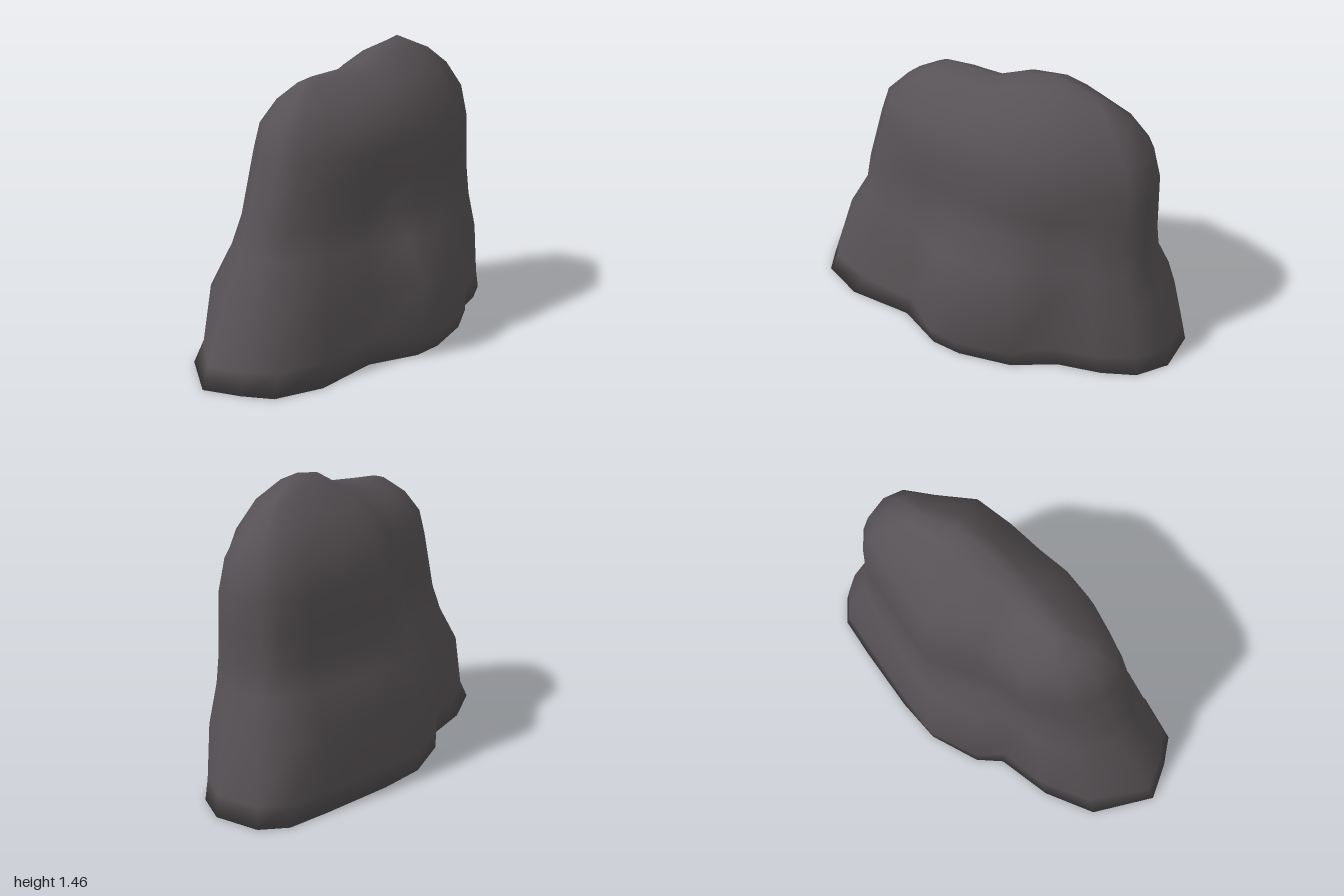
import * as THREE from 'three';
import { mergeVertices } from 'three/addons/utils/BufferGeometryUtils.js';

// Outlines as [x, z], from the back, round the left side, front and right side
const BASE = [[0, -1], [.22, -.96], [.34, -.83], [.38, -.66], [.39, -.44], [.47, -.22], [.47, .05], [.43, .2], [.27, .41], [.2, .74],
  [.06, .94], [-.09, .98], [-.28, 1], [-.49, .75], [-.51, .48], [-.455, .2], [-.51, .07], [-.5, -.2], [-.41, -.42], [-.24, -.74], [-.13, -.93]];
const LOW = [[.02, -.92], [.22, -.89], [.33, -.78], [.38, -.6], [.4, -.38], [.51, -.22], [.51, .06], [.46, .21], [.26, .38], [.17, .62],
  [.04, .8], [-.1, .86], [-.26, .84], [-.44, .66], [-.48, .42], [-.44, .2], [-.515, .06], [-.51, -.2], [-.4, -.41], [-.22, -.71], [-.12, -.86]];
const WAIST = [[.04, -.815], [.21, -.79], [.3, -.72], [.34, -.56], [.37, -.36], [.37, -.16], [.35, .04], [.3, .18], [.21, .35], [.12, .53],
  [.02, .67], [-.09, .725], [-.22, .69], [-.34, .53], [-.375, .34], [-.33, .14], [-.35, .02], [-.365, -.24], [-.25, -.46], [-.13, -.67], [-.05, -.77]];
const SHOULDER = [[.06, -.81], [.2, -.79], [.29, -.72], [.34, -.55], [.41, -.35], [.37, -.15], [.32, .03], [.28, .2], [.2, .36], [.11, .48],
  [.02, .59], [-.08, .64], [-.2, .59], [-.31, .46], [-.36, .27], [-.31, .08], [-.31, 0], [-.34, -.28], [-.22, -.48], [-.12, -.65], [-.04, -.76]];

// Ridge along the top, and the ridge point each outline point climbs to
const RIDGE = [[.1, 1.4, -.47], [.08, 1.46, -.29], [.05, 1.425, -.12], [.02, 1.36, 0], [-.04, 1.345, .13], [-.1, 1.33, .27]];
const TARGET = [0, 0, 0, 0, 1, 2, 3, 4, 4, 5, 5, 5, 5, 5, 4, 4, 3, 2, 1, 0, 0];

const mix = THREE.MathUtils.lerp;
// Mixes two outlines; the ends (large z) shift by a further amount
const blend = (a, b, y, f, endShift = 0) => a.map(([x, z], i) => {
  const t = f + endShift * z * z;
  return [mix(x, b[i][0], t), y, mix(z, b[i][1], t)];
});

function createRockGeometry() {
  // Flared foot, narrow waist and upright sides
  const rings = [
    blend(BASE, LOW, 0, 0), blend(BASE, LOW, .1, .9, -.65), blend(LOW, LOW, .37, 0), blend(LOW, WAIST, .56, .5, .4),
    blend(WAIST, SHOULDER, .7, 0), blend(WAIST, SHOULDER, .85, .5), blend(SHOULDER, SHOULDER, 1, 0),
  ];
  // Rounded crown closing on the ridge
  const steps = 4;
  for (let s = 1; s <= steps; s++) {
    const angle = (s / steps) * Math.PI / 2;
    const inward = s === steps ? 1 : 1 - Math.cos(angle) ** 1.5;
    rings.push(SHOULDER.map(([x, z], i) => {
      const [rx, ry, rz] = RIDGE[TARGET[i]];
      return [mix(x, rx, inward), mix(1, ry, Math.sin(angle)), mix(z, rz, inward)];
    }));
  }

  const n = BASE.length;
  const positions = rings.flat(2);
  const centre = positions.length / 3;
  positions.push(-.03, 0, 0);
  const index = [];
  for (let i = 0; i < n; i++) {
    const j = (i + 1) % n;
    index.push(centre, i, j); // flat underside
    for (let r = 0; r < rings.length - 1; r++) {
      const a = r * n + i, b = r * n + j;
      index.push(a, a + n, b, b, a + n, b + n);
    }
  }
  let geometry = new THREE.BufferGeometry();
  geometry.setAttribute('position', new THREE.Float32BufferAttribute(positions, 3));
  geometry.setIndex(index);
  geometry = mergeVertices(geometry, 1e-4);
  geometry.computeVertexNormals();
  return geometry;
}

export function createModel() {
  const stone = new THREE.MeshStandardMaterial({ color: 0x575255 });
  stone.name = 'dark stone';
  const rock = new THREE.Mesh(createRockGeometry(), stone);
  rock.name = 'rock';
  const group = new THREE.Group();
  group.name = 'boulder';
  group.add(rock);
  return group;
}
